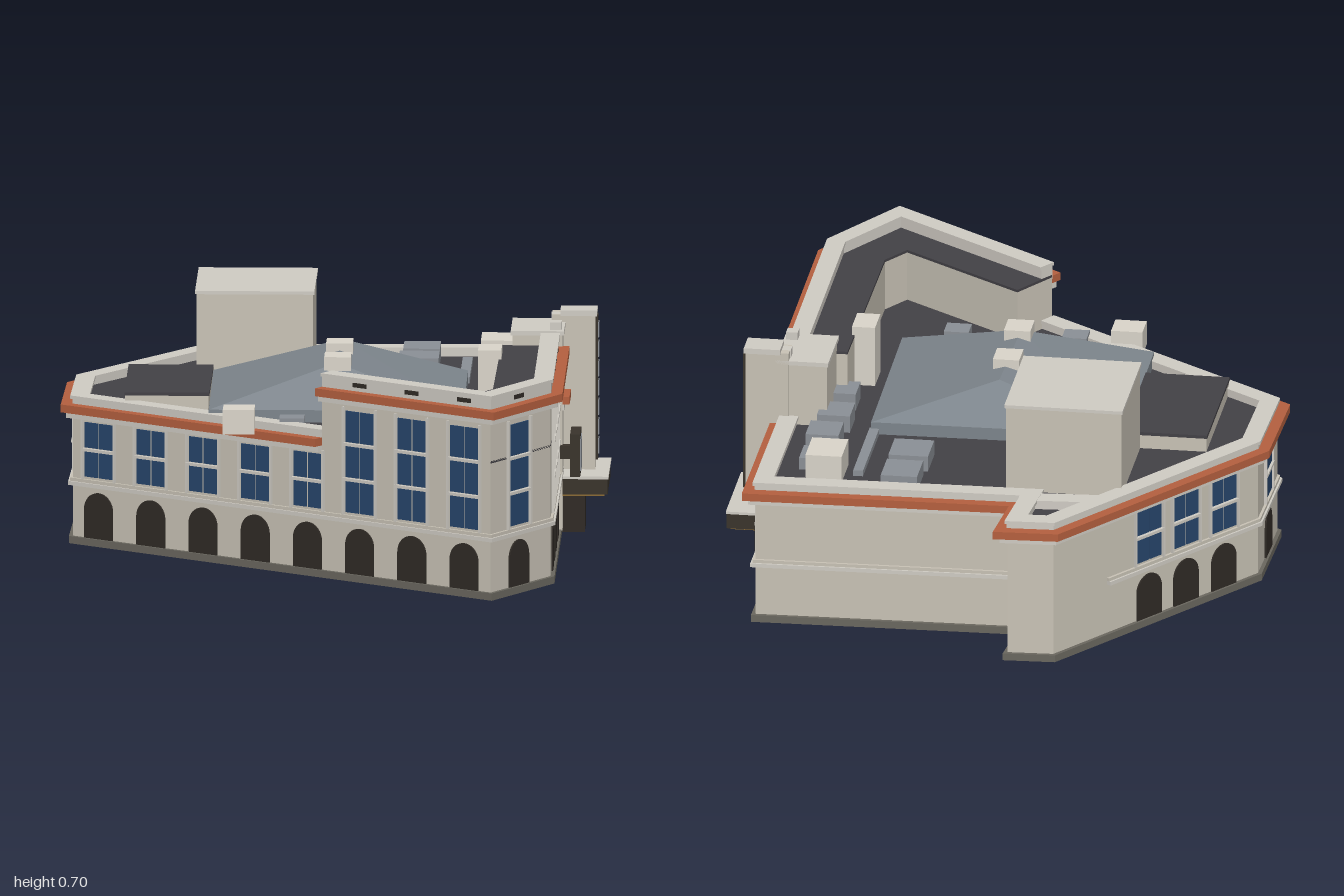
import * as THREE from 'three';
import { ConvexGeometry } from 'three/addons/geometries/ConvexGeometry.js';

const mat = (color, extra = {}) => new THREE.MeshStandardMaterial({ color, ...extra });
const M = {
  wall: mat(0xc9c3b6), trim: mat(0xd0ccc4), orange: mat(0xb5603f), roof: mat(0x434146),
  glass: mat(0x27456b), dark: mat(0x302b26), slate: mat(0x7d858c, { flatShading: true }),
  base: mat(0x6a675f), grey: mat(0x8b9096), bronze: mat(0x3a342c), cream: mat(0xdad5ca),
};

// Wall corners in plan [x, z]
const A = [-0.59, 0.955], B = [-0.27, 0.885], T = [0.29, 0.343], C = [0.815, -0.16], D = [0.24, -0.73];
const E = [0.4, -0.86], F = [0.3, -0.955], G = [-0.575, -0.825], H = [-0.825, -0.595], S = [-0.685, 0.33];
const LOW = [T, C, D, E, F, G, H, S], TALL = [S, A, B, T];
const ALL = [A, B, C, D, E, F, G, H];
const YAW = 0.768; // heading of the entrance front

const normal = (p, q) => {
  const dx = q[0] - p[0], dz = q[1] - p[1], l = Math.hypot(dx, dz);
  return [-dz / l, dx / l];
};

// Mitred offset of an open path, positive outwards
function offset(path, d) {
  return path.map((p, i) => {
    const a = i > 0 ? normal(path[i - 1], p) : normal(p, path[i + 1]);
    const b = i < path.length - 1 ? normal(p, path[i + 1]) : a;
    const k = d / (1 + a[0] * b[0] + a[1] * b[1]);
    return [p[0] + (a[0] + b[0]) * k, p[1] + (a[1] + b[1]) * k];
  });
}

export function createModel() {
  const root = new THREE.Group();
  root.name = 'theatreBuilding';

  const add = (parent, name, geo, material) => {
    const m = new THREE.Mesh(geo, material);
    m.name = name;
    parent.add(m);
    return m;
  };
  const prism = (name, pts, y0, y1, material) => {
    const shape = new THREE.Shape(pts.map(([x, z]) => new THREE.Vector2(x, -z)));
    const geo = new THREE.ExtrudeGeometry(shape, { depth: y1 - y0, bevelEnabled: false });
    geo.rotateX(-Math.PI / 2).translate(0, y0, 0);
    return add(root, name, geo, material);
  };
  const band = (name, path, out, inn, y0, y1, material) =>
    prism(name, [...offset(path, out), ...offset(path, inn).reverse()], y0, y1, material);
  const box = (parent, name, w, y0, y1, d, x, z, material) => {
    const m = add(parent, name, new THREE.BoxGeometry(w, y1 - y0, d), material);
    m.position.set(x, (y0 + y1) / 2, z);
    return m;
  };
  // Box turned to line up with the entrance front
  const turned = (name, x, z, w, d, y0, y1, material) => {
    const m = box(root, name, w, y0, y1, d, x, z, material);
    m.rotation.y = YAW;
    return m;
  };

  // Main body and roof decks
  prism('lowerBody', ALL, 0.01, 0.415, M.wall);
  prism('lowerRoof', ALL, 0.415, 0.422, M.roof);
  prism('groundSlab', ALL, 0, 0.012, M.base);
  const wing = [...TALL, [0.17, 0.225], [-0.36, 0.73], [-0.46, 0.75], [-0.53, 0.3]];
  prism('tallWing', wing, 0.02, 0.575, M.wall);
  prism('tallWingRoof', wing, 0.575, 0.583, M.roof);

  // Mouldings, cornices and parapets around both parts
  for (const [path, top, rise] of [[LOW, 0.425, 0.45], [TALL, 0.58, 0.622]]) {
    band('plinth', path, 0.012, -0.01, 0, 0.022, M.base);
    band('cornice', path, 0.036, -0.01, top - 0.024, top, M.orange);
    band('corniceMoulding', path, 0.02, -0.01, top - 0.042, top - 0.024, M.trim);
    band('parapet', path, 0.002, -0.045, top - 0.01, rise - 0.01, M.trim);
    band('parapetCap', path, 0.008, -0.05, rise - 0.01, rise, M.trim);
  }
  const courses = [[[S, A, B, C, D], 'frontCourse'], [[[0.07, -0.921], G, H, S], 'rearCourse']];
  for (const [path, name] of courses) {
    band(name, path, 0.014, -0.01, 0.178, 0.19, M.trim);
    band(name + 'Lip', path, 0.008, -0.01, 0.19, 0.2, M.wall);
  }
  const cross = box(root, 'crossParapet', 0.25, 0.42, 0.449, 0.06, 0.165, -0.815, M.trim);
  cross.rotation.y = -0.74;

  // One bay: arched opening below, a stack of paired panes above
  const arch = (w) => {
    const s = new THREE.Shape();
    s.moveTo(-w / 2, 0.022);
    s.lineTo(w / 2, 0.022);
    s.lineTo(w / 2, 0.162 - w / 2);
    s.absarc(0, 0.162 - w / 2, w / 2, 0, Math.PI);
    return new THREE.ExtrudeGeometry(s, { depth: 0.005, bevelEnabled: false, curveSegments: 8 });
  };
  const bay = (p, q, t, rows, cols = 2, w = 0.106) => {
    const g = new THREE.Group(), n = normal(p, q);
    g.name = 'bay';
    g.position.set(p[0] + (q[0] - p[0]) * t, 0, p[1] + (q[1] - p[1]) * t);
    g.rotation.y = Math.atan2(n[0], n[1]);
    add(g, 'archOpening', arch(w), M.dark);
    const y0 = 0.208, step = rows === 3 ? 0.107 : 0.089;
    for (let r = 0; r < rows; r++) {
      const y = y0 + r * step;
      for (let c = 0; c < cols; c++) {
        const pw = w / cols - 0.004;
        box(g, 'windowPane', pw, y, y + step - 0.012, 0.008, (c - (cols - 1) / 2) * (w / cols + 0.002), 0, M.glass);
      }
      if (r) box(g, 'transom', w + 0.012, y - 0.011, y - 0.002, 0.022, 0, 0, M.trim);
    }
    for (const s of [-1, 1]) box(g, 'windowJamb', 0.007, 0.2, y0 + rows * step, 0.018, s * (w / 2 + 0.007), 0, M.trim);
    if (rows === 3) box(g, 'parapetSlot', 0.05, 0.592, 0.605, 0.01, 0, 0, M.dark);
    root.add(g);
  };
  bay(A, B, 0.46, 3, 1);
  for (const x of [-0.17, -0.055, 0.06, 0.178]) bay(B, C, (x - B[0]) / (C[0] - B[0]), 3);
  for (const x of [0.54, 0.637, 0.735]) bay(B, C, (x - B[0]) / (C[0] - B[0]), 2);
  for (const t of [0.465, 0.645, 0.83]) bay(F, G, t, 2);
  bay(G, H, 0.5, 2);
  for (let i = 0; i < 8; i++) bay(H, A, (i + 0.5) / 8, i > 4 ? 3 : 2);

  // Hipped auditorium roof
  const eaves = [[-0.74, -0.1], [-0.27, -0.56], [0.27, -0.02], [-0.21, 0.45]];
  const hip = eaves.flatMap(([x, z]) => [new THREE.Vector3(x, 0.415, z), new THREE.Vector3(x, 0.46, z)]);
  hip.push(new THREE.Vector3(-0.36, 0.575, 0.06), new THREE.Vector3(-0.07, 0.575, -0.21));
  add(root, 'hippedRoof', new ConvexGeometry(hip), M.slate);

  // Stage tower and rear annex
  turned('stageTower', -0.04, -0.61, 0.385, 0.35, 0.41, 0.69, M.wall);
  turned('stageTowerCap', -0.04, -0.61, 0.393, 0.358, 0.69, 0.7, M.trim);
  turned('rearAnnex', -0.52, -0.495, 0.46, 0.25, 0.41, 0.465, M.wall);
  turned('rearAnnexRoof', -0.52, -0.495, 0.465, 0.255, 0.465, 0.475, M.roof);

  // Rooftop units: x, z, width, depth, top, material
  const units = [
    [0.43, -0.38, 0.13, 0.11, 0.47, M.grey], [0.31, -0.27, 0.13, 0.12, 0.47, M.grey],
    [0.54, -0.11, 0.1, 0.1, 0.46, M.grey], [0.56, -0.18, 0.14, 0.11, 0.505, M.cream],
    [0.43, 0, 0.11, 0.1, 0.475, M.grey], [0.31, 0.1, 0.11, 0.1, 0.475, M.grey],
    [0.19, 0.22, 0.1, 0.09, 0.475, M.grey], [-0.64, 0.155, 0.07, 0.075, 0.46, M.grey],
    [-0.515, 0.285, 0.07, 0.075, 0.46, M.grey], [-0.39, 0.41, 0.07, 0.075, 0.46, M.grey],
    [0.015, 0.335, 0.11, 0.07, 0.61, M.cream], [-0.18, -0.11, 0.09, 0.08, 0.597, M.cream],
    [-0.345, 0.05, 0.09, 0.08, 0.597, M.cream], [-0.76, 0.05, 0.09, 0.095, 0.49, M.cream],
    [0.38, -0.14, 0.34, 0.03, 0.44, M.grey],
  ];
  for (const [x, z, w, d, top, m] of units) turned('rooftopUnit', x, z, w, d, 0.415, top, m);

  // Entrance tower; local +z points out of the entrance front
  const ent = new THREE.Group();
  ent.name = 'entrance';
  ent.position.set(0.41, 0, 0.227);
  ent.rotation.y = YAW;
  root.add(ent);
  box(ent, 'towerBlock', 0.21, 0.02, 0.615, 0.15, -0.075, -0.06, M.wall);
  box(ent, 'towerBlockCap', 0.22, 0.615, 0.628, 0.16, -0.075, -0.06, M.trim);
  for (const x of [-0.15, -0.01]) {
    box(ent, 'towerPinnacle', 0.035, 0.62, 0.652, 0.035, x, -0.005, M.trim);
  }
  box(ent, 'pylon', 0.07, 0.18, 0.652, 0.13, 0, 0.045, M.wall);
  box(ent, 'pylonCap', 0.085, 0.648, 0.665, 0.11, 0, 0.06, M.trim);
  box(ent, 'pylonPanel', 0.066, 0.21, 0.645, 0.02, 0, 0.108, M.bronze);
  for (let i = 0; i < 7; i++) {
    const y = 0.225 + i * 0.059;
    box(ent, 'pylonCell', 0.04, y, y + 0.046, 0.008, 0, 0.117, M.grey);
  }
  box(ent, 'marquee', 0.31, 0.125, 0.172, 0.15, 0, 0.075, M.bronze);
  box(ent, 'marqueeTop', 0.315, 0.172, 0.18, 0.155, 0, 0.075, M.trim);
  box(ent, 'marqueeSoffit', 0.29, 0.119, 0.125, 0.13, 0, 0.075, mat(0x8a6a35));
  box(ent, 'doorway', 0.15, 0, 0.12, 0.1, -0.02, 0.03, M.dark);
  box(ent, 'posterFrame', 0.135, 0.195, 0.325, 0.03, -0.18, 0.055, M.bronze);
  box(ent, 'posterPanel', 0.108, 0.212, 0.308, 0.006, -0.18, 0.07, M.grey);
  box(ent, 'posterBracket', 0.03, 0.24, 0.28, 0.05, -0.18, 0.02, M.bronze);

  return root;
}
